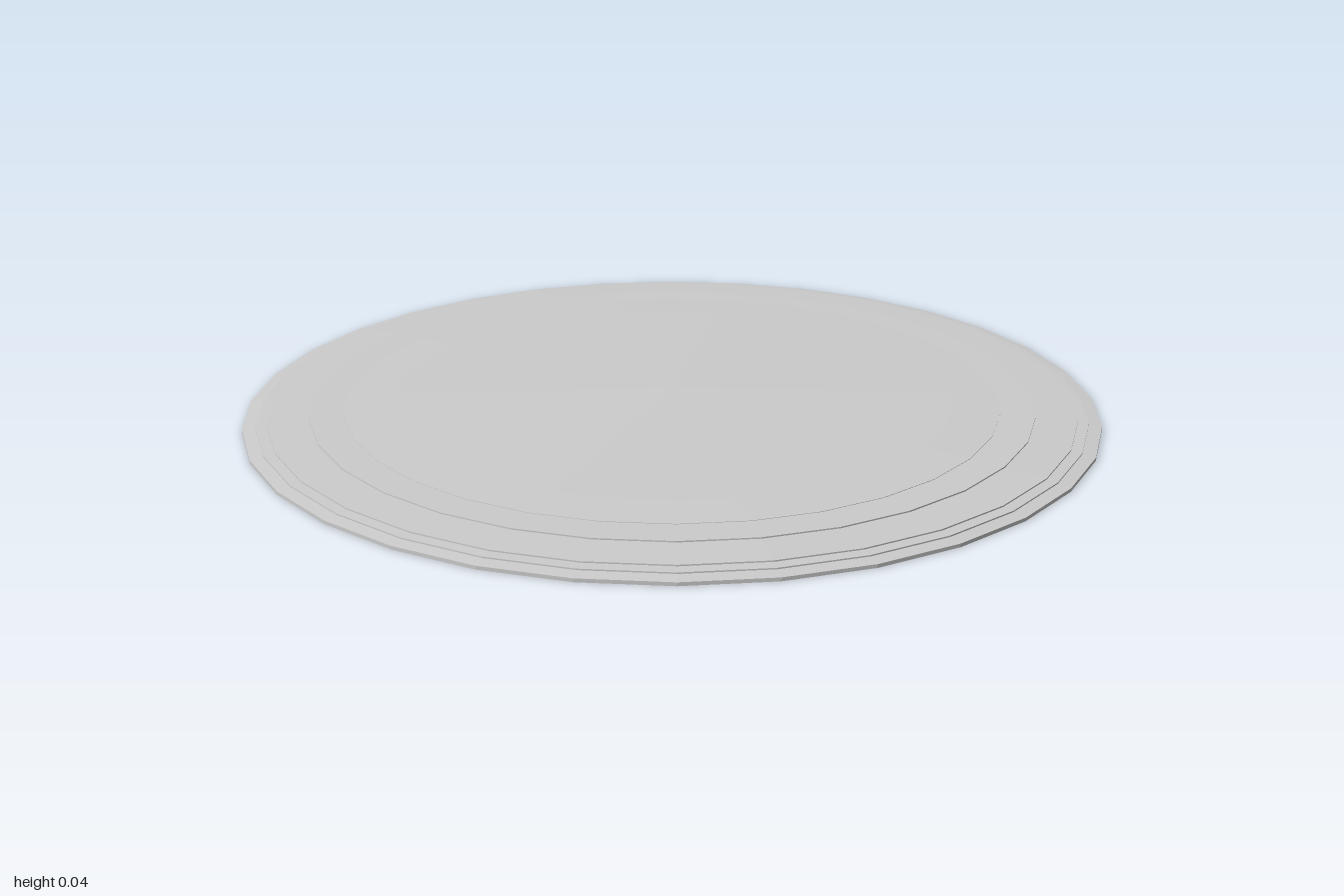
import * as THREE from 'three';

const SIDES = 32;

// Turned part from [radius, height] pairs, listed from the underside upwards
function turned(name, profile) {
  const points = profile.map(([r, y]) => new THREE.Vector2(r, y));
  const material = new THREE.MeshStandardMaterial({ color: 0xcccccc, flatShading: true });
  const mesh = new THREE.Mesh(new THREE.LatheGeometry(points, SIDES), material);
  mesh.name = name;
  return mesh;
}

export function createModel() {
  const model = new THREE.Group();
  model.name = 'disc';
  model.add(
    // flat base with a thin stepped edge
    turned('base', [
      [0, 0], [1, 0], [1, 0.008], [0.97, 0.011],
      [0.97, 0.014], [0.945, 0.015], [0.945, 0.018],
      [0.85, 0.021], [0.85, 0.024], [0.77, 0.024],
    ]),
    // shallow raised centre
    turned('crown', [[0.77, 0.022], [0.77, 0.025], [0.66, 0.028], [0, 0.037]]),
  );
  return model;
}
